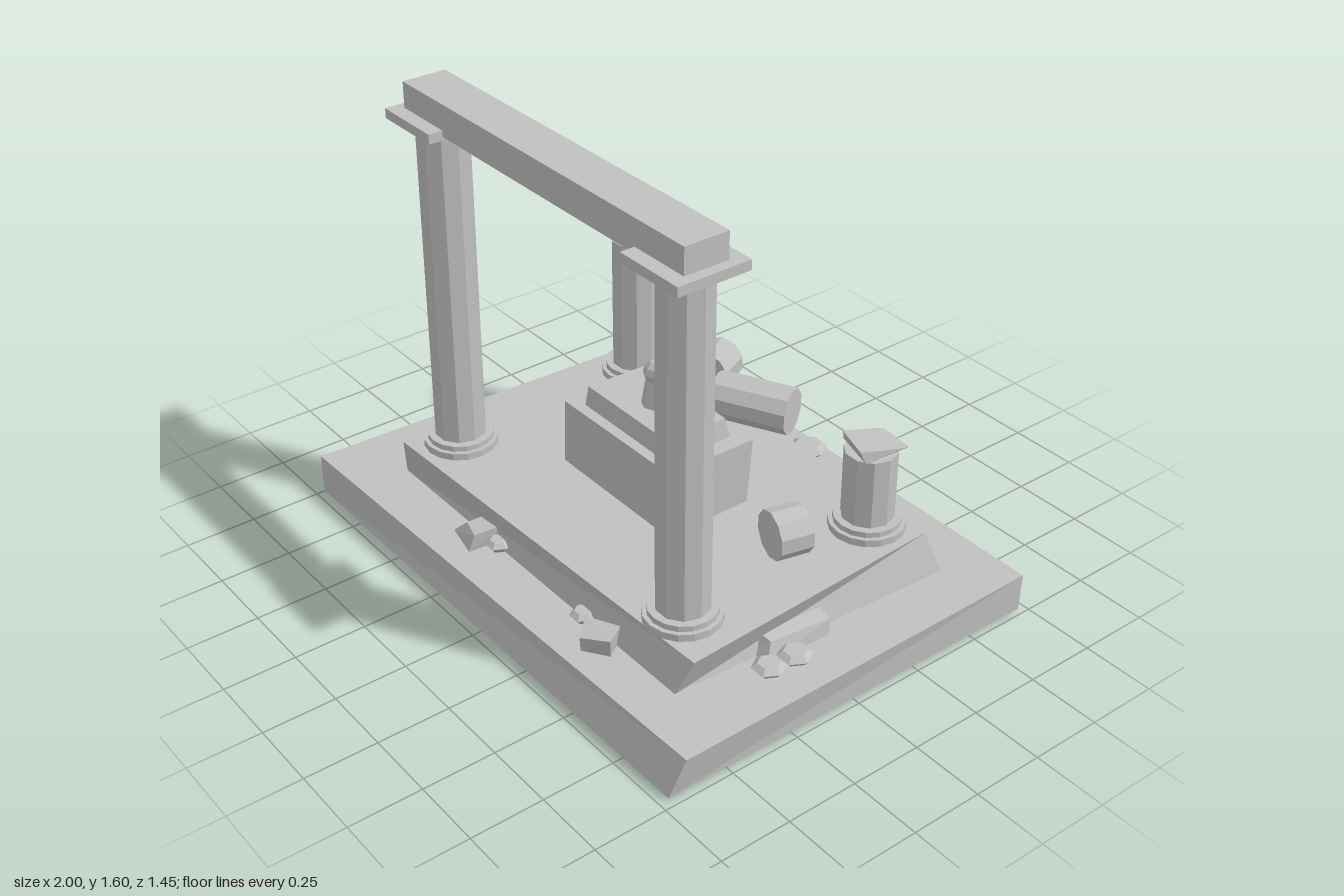
import * as THREE from 'three';

export function createModel() {
  const root = new THREE.Group();
  root.name = 'ruinedTemple';
  const stone = new THREE.MeshStandardMaterial({ color: 0xc0c0c0 });
  stone.name = 'grey stone';

  // Faceted mesh: every face keeps its own normal
  function add(name, geometry, x = 0, y = 0, z = 0, parent = root) {
    const g = geometry.index ? geometry.toNonIndexed() : geometry;
    g.computeVertexNormals();
    const mesh = new THREE.Mesh(g, stone);
    mesh.name = name;
    mesh.position.set(x, y, z);
    parent.add(mesh);
    return mesh;
  }

  // Irregular hewn block: bottom and top quads of [x, z] corners
  // (front left, front right, back right, back left); heights may vary per corner
  function block(name, bottom, top, y0, y1) {
    const lift = (quad, y) => quad.map(([x, z], i) => [x, Array.isArray(y) ? y[i] : y, z]);
    const b = lift(bottom, y0), t = lift(top, y1), pos = [];
    const quad = (p, q, r, s) => pos.push(...p, ...q, ...r, ...p, ...r, ...s);
    for (let i = 0; i < 4; i++) {
      const j = (i + 1) % 4;
      quad(b[i], b[j], t[j], t[i]);
    }
    quad(t[0], t[1], t[2], t[3]);
    quad(b[3], b[2], b[1], b[0]);
    const g = new THREE.BufferGeometry();
    g.setAttribute('position', new THREE.Float32BufferAttribute(pos, 3));
    return add(name, g);
  }

  const cylinder = (r, h, sides) => new THREE.CylinderGeometry(r, r, h, sides).rotateY(Math.PI / 2);

  // Stepped platform
  block('lowerStep',
    [[-1, 0.72], [0.975, 0.72], [0.985, -0.715], [-0.95, -0.71]],
    [[-1, 0.72], [1, 0.675], [0.99, -0.715], [-0.94, -0.715]], [0, 0.01, 0.01, 0], 0.147);
  block('upperStep',
    [[-0.74, 0.525], [0.755, 0.525], [0.81, -0.525], [-0.74, -0.52]],
    [[-0.71, 0.55], [0.815, 0.5], [0.765, -0.485], [-0.69, -0.53]], 0.145, 0.29);

  // Columns: two whole ones in front, two broken ones behind
  function column(name, x, z, topY, whole) {
    const c = new THREE.Group();
    c.name = name;
    c.position.set(x, 0, z);
    root.add(c);
    add('columnFoot', cylinder(0.127, 0.03, 16), 0, 0.3, 0, c);
    add('columnRing', cylinder(0.112, 0.025, 16), 0, 0.322, 0, c);
    add('columnShaft', cylinder(0.088, topY - 0.3, 10), 0, (topY + 0.3) / 2, 0, c);
    if (whole) {
      add('capitalRing', cylinder(0.108, 0.02, 16), 0, 1.473, 0, c);
      add('capitalSlab', new THREE.BoxGeometry(0.252, 0.033, 0.255), 0, 1.495, 0, c);
    }
  }
  column('frontRightColumn', -0.597, 0.387, 1.47, true);
  column('frontLeftColumn', 0.62, 0.387, 1.47, true);
  column('backRightColumn', -0.6, -0.37, 0.83, false);
  column('backLeftColumn', 0.615, -0.37, 0.58, false);
  add('lintel', new THREE.BoxGeometry(1.4, 0.11, 0.155), 0.01, 1.545, 0.387);

  // Loose slabs over the broken columns
  block('tallColumnFragment',
    [[-0.69, -0.32], [-0.55, -0.28], [-0.52, -0.45], [-0.65, -0.465]],
    [[-0.68, -0.32], [-0.56, -0.27], [-0.51, -0.42], [-0.65, -0.43]],
    [0.866, 0.87, 0.858, 0.858], [0.9, 0.898, 0.91, 0.908]);
  block('shortColumnFragment',
    [[0.53, -0.33], [0.68, -0.285], [0.7, -0.45], [0.57, -0.465]],
    [[0.535, -0.32], [0.67, -0.27], [0.715, -0.415], [0.57, -0.43]],
    [0.59, 0.59, 0.598, 0.595], [0.625, 0.632, 0.615, 0.61]);

  // Altar with its finial
  block('altar',
    [[-0.28, 0.178], [0.28, 0.178], [0.28, -0.15], [-0.27, -0.15]],
    [[-0.275, 0.175], [0.28, 0.17], [0.285, -0.165], [-0.25, -0.155]], 0.285, 0.525);
  block('altarSlab',
    [[-0.215, 0.135], [0.228, 0.135], [0.225, -0.12], [-0.21, -0.12]],
    [[-0.21, 0.125], [0.215, 0.125], [0.215, -0.105], [-0.2, -0.105]], 0.525, 0.595);
  add('finialBody', new THREE.CylinderGeometry(0.034, 0.052, 0.11, 8), 0.008, 0.645, 0.01);
  add('finialHead', new THREE.SphereGeometry(0.045, 8, 6), 0.008, 0.713, 0.01);

  // Fallen column drums: x, z, length, heading
  [
    [-0.065, -0.475, 0.28, 2.04],
    [-0.34, -0.52, 0.13, 0.43],
    [0.57, -0.065, 0.115, -0.23],
  ].forEach(([x, z, length, heading]) => {
    const g = new THREE.CylinderGeometry(0.084, 0.084, length, 10).rotateX(Math.PI / 2);
    add('fallenDrum', g, x, 0.373, z).rotation.y = heading;
  });

  // Rubble on the lower step
  block('rubbleRight',
    [[-0.91, 0.2], [-0.735, 0.245], [-0.73, 0.1], [-0.86, 0.04]],
    [[-0.88, 0.18], [-0.74, 0.23], [-0.725, 0.09], [-0.85, 0.03]], 0.14, [0.22, 0.225, 0.225, 0.22]);
  block('rubbleFrontRight',
    [[-0.35, 0.59], [-0.21, 0.62], [-0.2, 0.48], [-0.31, 0.48]],
    [[-0.29, 0.57], [-0.2, 0.6], [-0.185, 0.48], [-0.27, 0.48]], 0.14, [0.2, 0.21, 0.215, 0.212]);
  block('rubbleFrontLeft',
    [[0.345, 0.55], [0.42, 0.625], [0.5, 0.57], [0.45, 0.5]],
    [[0.35, 0.555], [0.43, 0.635], [0.52, 0.585], [0.47, 0.51]], 0.14, [0.2, 0.205, 0.222, 0.215]);
  block('rubbleLeft',
    [[0.72, 0.23], [0.82, 0.22], [0.83, -0.02], [0.72, -0.03]],
    [[0.72, 0.2], [0.8, 0.19], [0.82, -0.035], [0.72, -0.04]], 0.14, [0.22, 0.205, 0.2, 0.215]);
  block('rubbleBack',
    [[-0.28, -0.53], [-0.145, -0.53], [-0.15, -0.69], [-0.265, -0.69]],
    [[-0.28, -0.54], [-0.15, -0.54], [-0.135, -0.728], [-0.275, -0.728]], 0.14, [0.2, 0.2, 0.222, 0.218]);
  block('rubbleBackRight',
    [[-0.64, -0.48], [-0.51, -0.48], [-0.51, -0.55], [-0.63, -0.545]],
    [[-0.65, -0.48], [-0.5, -0.48], [-0.505, -0.56], [-0.6, -0.55]], 0.14, 0.215);

  // Six-sided pebbles: x, z, radius
  [
    [0.855, 0.14, 0.058], [0.85, 0.24, 0.056], [0.03, -0.645, 0.07],
    [-0.165, 0.53, 0.045], [0.305, 0.53, 0.045],
  ].forEach(([x, z, r]) => {
    const profile = [[0, -0.018], [0.65, -0.018], [1, 0.002], [0.65, 0.018], [0, 0.018]]
      .map(([px, py]) => new THREE.Vector2(px * r, py));
    add('pebble', new THREE.LatheGeometry(profile, 6).rotateY(Math.PI / 6), x, 0.168, z);
  });

  return root;
}
